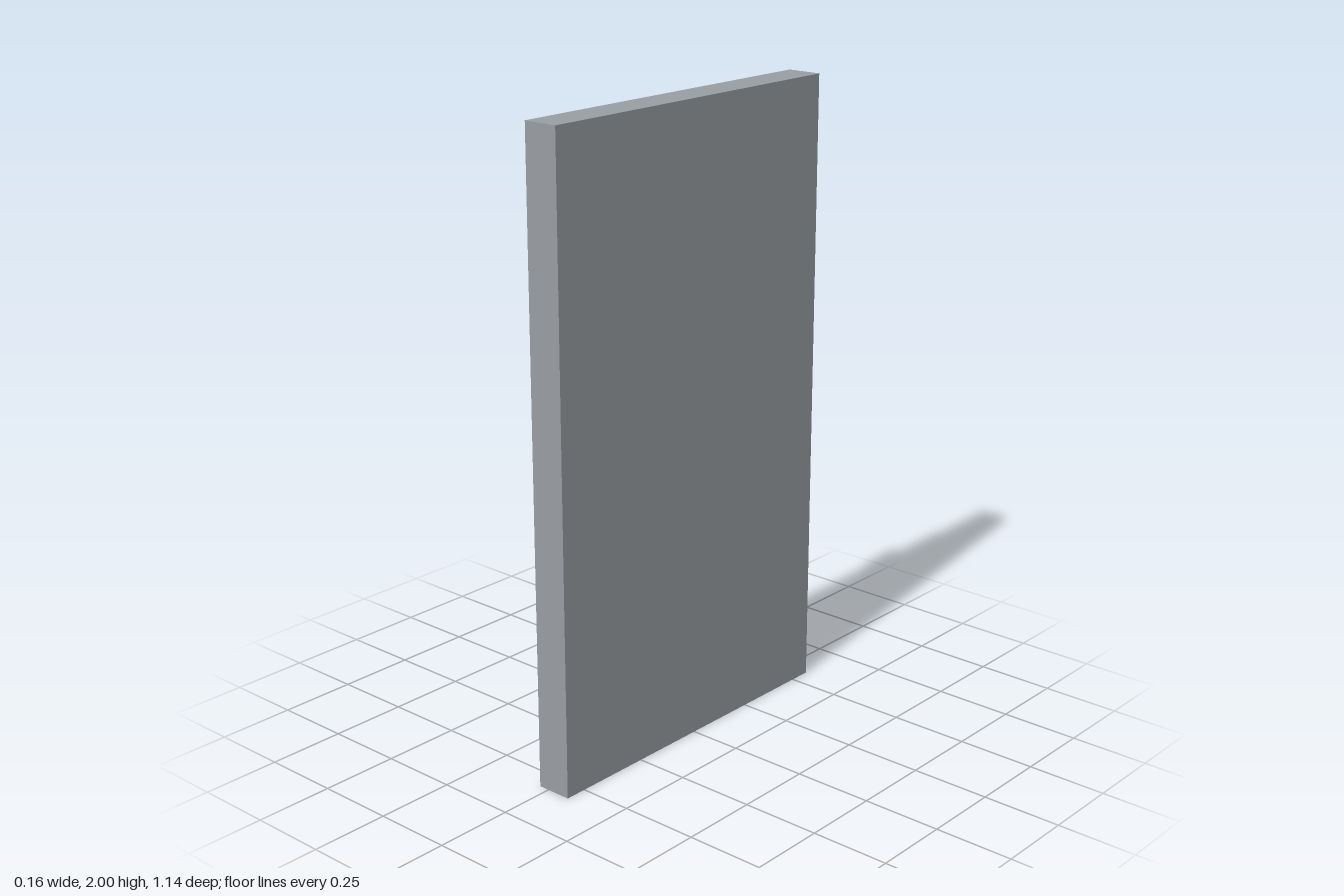
import * as THREE from 'three';

export function createModel() {
  const model = new THREE.Group();

  const slabMaterial = new THREE.MeshStandardMaterial({ color: 0x9a9fa5 });
  const panelMaterial = new THREE.MeshStandardMaterial({ color: 0x566169 });
  const stripMaterial = new THREE.MeshStandardMaterial({ color: 0xb4b5b2 });

  // Box given by its x and y extents and its depth, centred on z
  function addBox(name, [x0, x1], [y0, y1], depth, material) {
    const mesh = new THREE.Mesh(new THREE.BoxGeometry(x1 - x0, y1 - y0, depth), material);
    mesh.position.set((x0 + x1) / 2, (y0 + y1) / 2, 0);
    mesh.name = name;
    model.add(mesh);
  }

  // Main upright slab
  addBox('slab', [-0.034, 0.08], [0, 2], 1.142, slabMaterial);

  // Raised backing panel on the -x face
  addBox('backingPanel', [-0.067, -0.034], [0.188, 1.812], 0.816, panelMaterial);

  // Mounting strips, sunk into the panel and overhanging its ends
  addBox('lowerStrip', [-0.08, -0.054], [0.062, 0.712], 0.1, stripMaterial);
  addBox('upperStrip', [-0.08, -0.054], [1.288, 1.938], 0.1, stripMaterial);

  return model;
}
